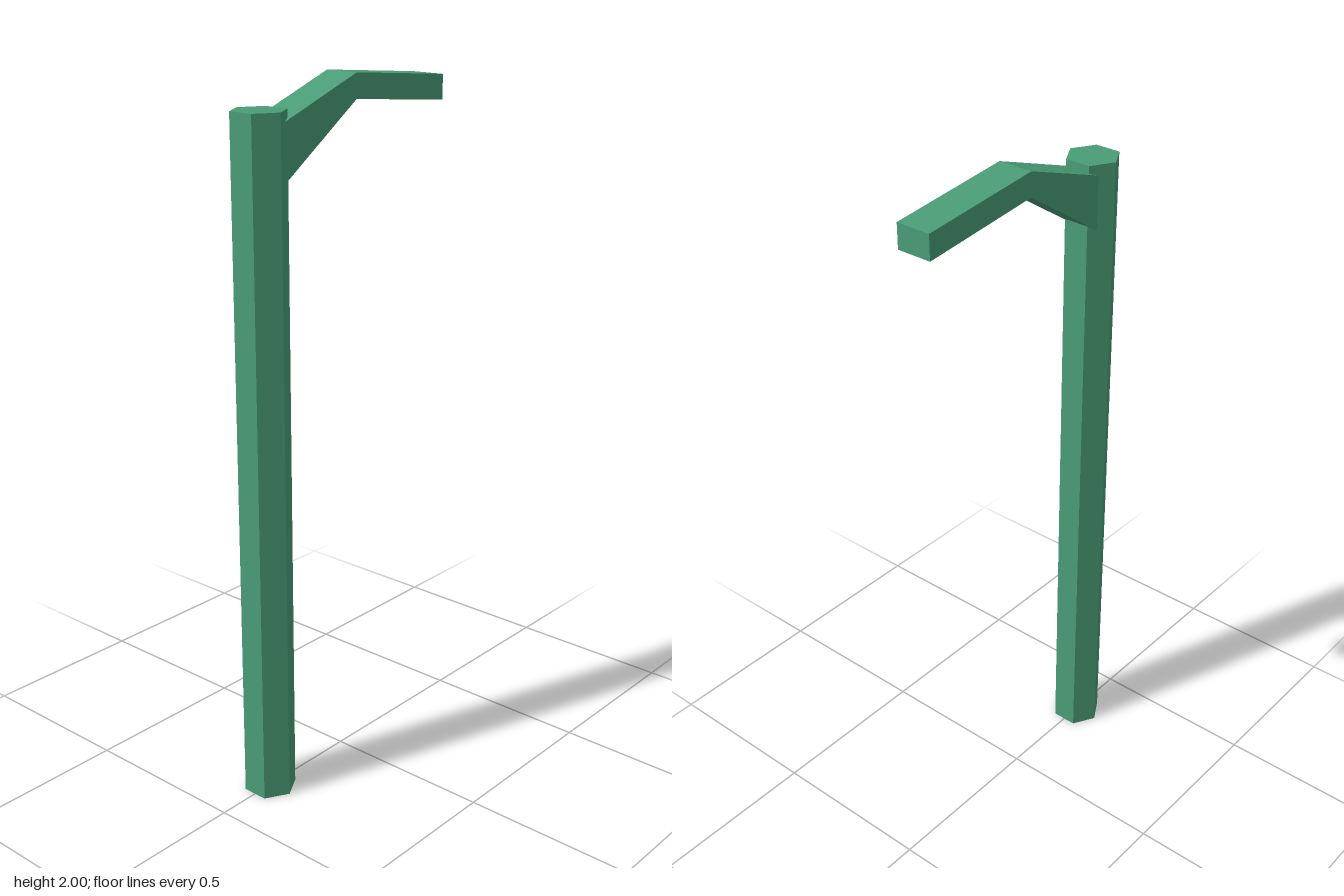
import * as THREE from 'three';

export function createModel() {
  const group = new THREE.Group();
  const green = new THREE.MeshStandardMaterial({ name: 'green paint', color: 0x4a9d76, flatShading: true });
  const grey = new THREE.MeshStandardMaterial({ name: 'lamp grey', color: 0x8a8a8a, flatShading: true });

  const add = (name, geometry, material) => {
    const mesh = new THREE.Mesh(geometry, material);
    mesh.name = name;
    group.add(mesh);
    return mesh;
  };

  // Hexagonal post with corners facing front and back
  const height = 1.932;
  add('post', new THREE.CylinderGeometry(0.075, 0.075, height, 6), green)
    .position.set(-0.31, height / 2, 0);

  // Bent arm, deeper where it meets the post
  const profile = [
    [-0.29, 1.735], [0.005, 1.932], [0.374, 1.895],
    [0.374, 1.965], [0.005, 2.0], [-0.29, 1.895],
  ].map(([x, y]) => new THREE.Vector2(x, y));
  const width = 0.102;
  const arm = new THREE.ExtrudeGeometry(new THREE.Shape(profile), { depth: width, bevelEnabled: false });
  arm.translate(0, 0, -width / 2);
  add('arm', arm, green);

  // Small lens set almost flush into the underside of the arm
  const lens = add('lampLens', new THREE.BoxGeometry(0.08, 0.004, 0.03), grey);
  lens.position.set(0.26, 1.906, 0);
  lens.rotation.z = Math.atan2(1.895 - 1.932, 0.369);

  return group;
}
